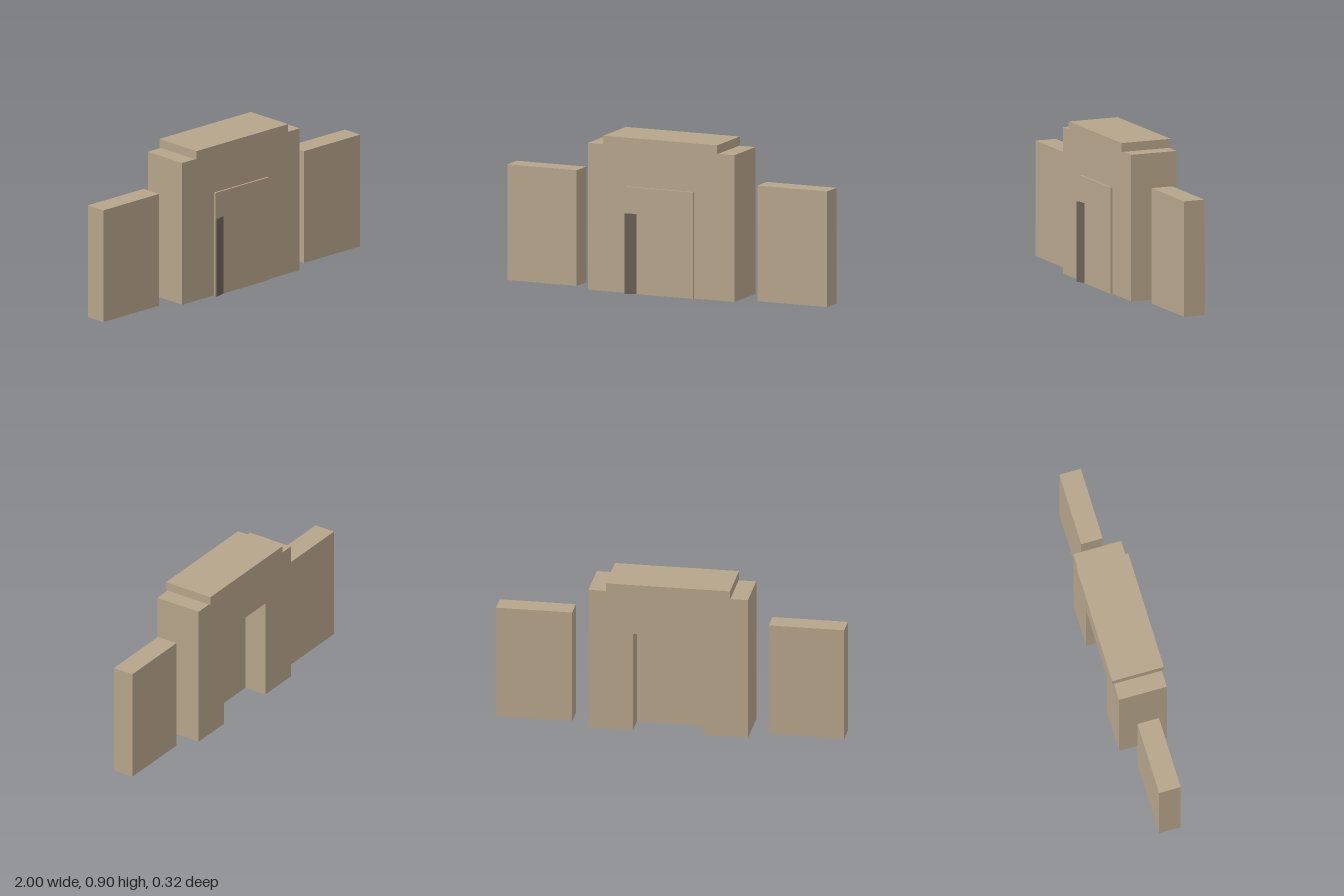
import * as THREE from 'three';

export function createModel() {
  const model = new THREE.Group();
  model.name = 'gateway';
  const stone = new THREE.MeshStandardMaterial({ name: 'sandstone', color: 0xb5a48a });
  const dark = new THREE.MeshStandardMaterial({ name: 'dark wood', color: 0x6b6156 });

  const add = (name, geometry, material) => {
    const mesh = new THREE.Mesh(geometry, material);
    mesh.name = name;
    model.add(mesh);
    return mesh;
  };
  // Box given by its limits on each axis
  const block = (name, [x0, x1], [y0, y1], [z0, z1]) =>
    add(name, new THREE.BoxGeometry(x1 - x0, y1 - y0, z1 - z0), stone)
      .position.set((x0 + x1) / 2, (y0 + y1) / 2, (z0 + z1) / 2);

  // Gatehouse with a doorway opening, extruded front to back
  const outline = [[-0.46, 0], [-0.206, 0], [-0.206, 0.592], [0.201, 0.592],
    [0.201, 0], [0.456, 0], [0.456, 0.845], [-0.46, 0.845]];
  const shape = new THREE.Shape(outline.map(([x, y]) => new THREE.Vector2(x, y)));
  const house = new THREE.ExtrudeGeometry(shape, { depth: 0.283, bevelEnabled: false });
  house.translate(0, 0, -0.15);
  add('gatehouse', house, stone);

  // Door slab closing the opening, leaving a niche at the back
  block('doorSlab', [-0.21, 0.204], [0, 0.613], [-0.013, 0.145]);

  // Roof cap
  block('roofCap', [-0.359, 0.354], [0.845, 0.896], [-0.161, 0.145]);

  // Flanking walls
  block('rightWall', [-1, -0.566], [0, 0.666], [-0.072, 0.055]);
  block('leftWall', [0.563, 1], [0, 0.666], [-0.072, 0.055]);

  // Narrow door leaf standing slightly ajar, hinged on the slab
  const leaf = new THREE.BoxGeometry(0.07, 0.461, 0.01);
  leaf.translate(-0.035, 0.2305, -0.005);
  const door = add('doorLeaf', leaf, dark);
  door.position.set(-0.15, 0, 0.145);
  door.rotation.y = 0.26;

  return model;
}
